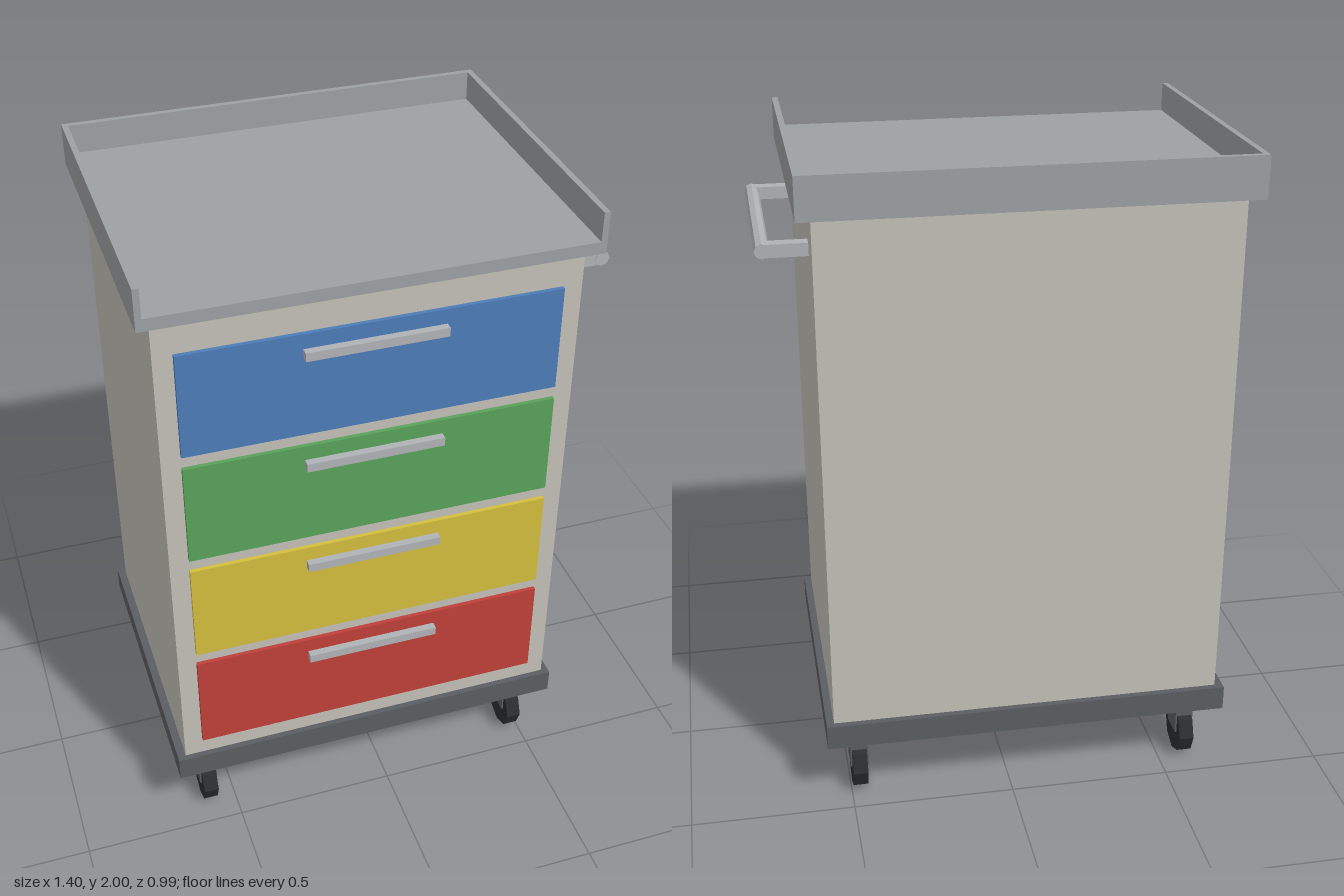
import * as THREE from 'three';

const mat = (color) => new THREE.MeshStandardMaterial({ color, flatShading: true });

export function createModel() {
  const model = new THREE.Group();
  model.name = 'drawerTrolley';
  const body = mat(0xc2c0b8), steel = mat(0x9da1a4), dark = mat(0x5a5e62);
  const rubber = mat(0x2c2d2f), metal = mat(0xb0b3b6);

  // Box given by its limits on each axis
  const box = (name, material, [x0, x1], [y0, y1], [z0, z1], parent = model) => {
    const mesh = new THREE.Mesh(new THREE.BoxGeometry(x1 - x0, y1 - y0, z1 - z0), material);
    mesh.position.set((x0 + x1) / 2, (y0 + y1) / 2, (z0 + z1) / 2);
    mesh.name = name;
    parent.add(mesh);
    return mesh;
  };

  // Cabinet and base plate
  box('cabinet', body, [-0.66, 0.55], [0.285, 1.875], [-0.455, 0.46]);
  box('basePlate', dark, [-0.685, 0.573], [0.207, 0.285], [-0.475, 0.478]);

  // Tray top, with a lip on three sides and an open front
  const tray = new THREE.Group();
  tray.name = 'trayTop';
  model.add(tray);
  box('trayFloor', steel, [-0.7, 0.593], [1.875, 1.912], [-0.496, 0.496], tray);
  box('trayLipRight', steel, [-0.7, -0.682], [1.912, 2], [-0.496, 0.496], tray);
  box('trayLipLeft', steel, [0.575, 0.593], [1.912, 2], [-0.496, 0.496], tray);
  box('trayLipBack', steel, [-0.682, 0.575], [1.912, 2], [-0.496, -0.478], tray);

  // Four coloured drawers with bar pulls
  [0x4e7cb8, 0x5aa25a, 0xd4be3e, 0xc0403a].forEach((color, i) => {
    const top = 1.77 - i * 0.366;
    const drawer = new THREE.Group();
    drawer.name = `drawer${i + 1}`;
    model.add(drawer);
    box('drawerFront', mat(color), [-0.604, 0.492], [top - 0.325, top], [0.45, 0.473], drawer);
    box('drawerPull', metal, [-0.258, 0.15], [top - 0.073, top - 0.046], [0.473, 0.496], drawer);
  });

  // Push handle on the left side
  const handle = new THREE.Group();
  handle.name = 'pushHandle';
  model.add(handle);
  for (const z of [-0.306, 0.304])
    box('handleBracket', metal, [0.54, 0.678], [1.731, 1.769], [z - 0.02, z + 0.02], handle);
  const bar = new THREE.Mesh(new THREE.CylinderGeometry(0.022, 0.022, 0.652, 8), metal);
  bar.rotation.x = Math.PI / 2;
  bar.position.set(0.678, 1.75, 0);
  bar.name = 'handleBar';
  handle.add(bar);

  // Casters: a fork block and an eight-sided wheel at each corner
  for (const x of [-0.583, 0.472]) for (const z of [-0.364, 0.368]) {
    const caster = new THREE.Group();
    caster.name = 'caster';
    model.add(caster);
    box('casterFork', dark, [x - 0.028, x + 0.028], [0.083, 0.21], [z - 0.04, z + 0.04], caster);
    const wheel = new THREE.Mesh(new THREE.CylinderGeometry(0.08, 0.08, 0.046, 8), rubber);
    wheel.rotation.z = Math.PI / 2;
    wheel.position.set(x, 0.08, z);
    wheel.name = 'casterWheel';
    caster.add(wheel);
  }
  return model;
}
